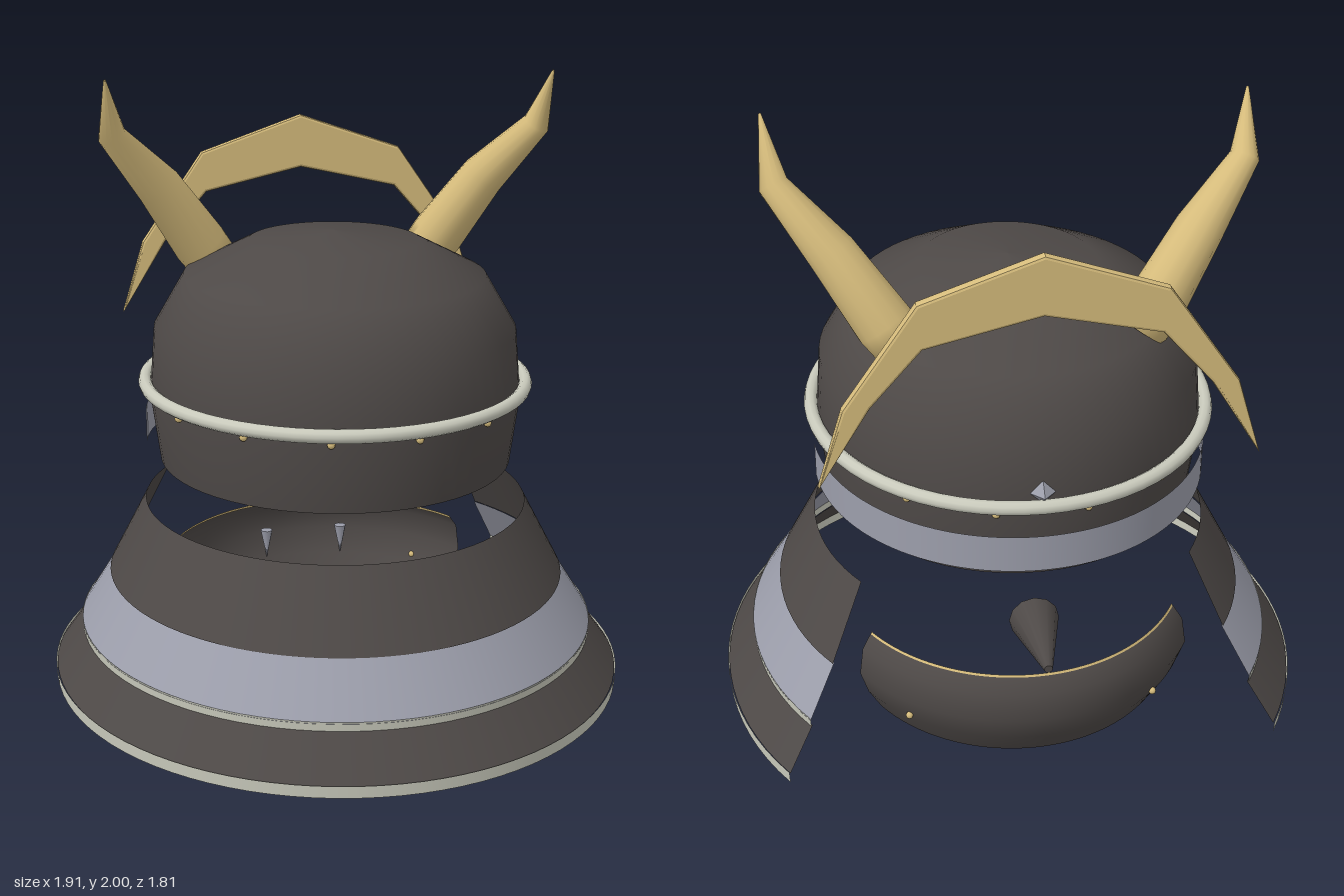
import * as THREE from 'three';

const deg = Math.PI / 180;

function material(name, color, side = THREE.DoubleSide) {
  const m = new THREE.MeshStandardMaterial({ color, side });
  m.name = name;
  return m;
}

// Tapered solid through a list of [x, y, z, radius] stations
function taperGeometry(stations, sides) {
  const pts = stations.map(([x, y, z]) => new THREE.Vector3(x, y, z));
  const position = [], index = [];
  stations.forEach(([, , , r], i) => {
    const dir = pts[Math.min(i + 1, pts.length - 1)].clone().sub(pts[Math.max(i - 1, 0)]).normalize();
    const u = new THREE.Vector3(0, 0, 1).cross(dir).normalize();
    const v = dir.clone().cross(u);
    for (let s = 0; s < sides; s++) {
      const a = (s / sides) * Math.PI * 2;
      const p = pts[i].clone().addScaledVector(u, r * Math.cos(a)).addScaledVector(v, r * Math.sin(a));
      position.push(p.x, p.y, p.z);
      if (i > 0) {
        const n = (s + 1) % sides, lo = (i - 1) * sides, hi = i * sides;
        index.push(lo + s, lo + n, hi + n, lo + s, hi + n, hi + s);
      }
    }
  });
  // base cap
  for (let s = 1; s < sides - 1; s++) index.push(0, s + 1, s);
  const g = new THREE.BufferGeometry();
  g.setAttribute('position', new THREE.Float32BufferAttribute(position, 3));
  g.setIndex(index);
  g.computeVertexNormals();
  return g;
}

export function createModel() {
  const dark = material('dark lacquer', 0x4e4947);
  const steel = material('blue grey steel', 0x9c9eab);
  const cream = material('pale trim', 0xc9cabc);
  const gold = material('gold', 0xd6bc7c);

  const model = new THREE.Group();
  model.name = 'hornedHelmet';

  // Round parts share one slightly elongated axis
  const oval = new THREE.Group();
  oval.name = 'ovalParts';
  oval.position.z = -0.13;
  oval.scale.z = 1.08;
  model.add(oval);

  function add(parent, name, geometry, mat) {
    const mesh = new THREE.Mesh(geometry, mat);
    mesh.name = name;
    parent.add(mesh);
    return mesh;
  }

  // Revolved shell, centred on an angle measured from +z; profile runs upwards
  function shell(name, profile, mat, middle = 0, half = 180) {
    const pts = profile.map(([r, y]) => new THREE.Vector2(r, y));
    const g = new THREE.LatheGeometry(pts, 64, (middle - half) * deg, 2 * half * deg);
    return add(oval, name, g, mat);
  }

  // Bowl
  shell('bowl', [[0.583, 0.745], [0.612, 0.96], [0.594, 1.19], [0.495, 1.36], [0.28, 1.47], [0, 1.5]], dark);

  // Rim ring and its rivets
  const rim = add(oval, 'rimRing', new THREE.TorusGeometry(0.628, 0.022, 10, 64), cream);
  rim.rotation.x = Math.PI / 2;
  rim.position.y = 1.007;
  for (let i = 0; i < 14; i++) {
    const a = ((i + 0.5) / 14) * Math.PI * 2;
    const rivet = add(oval, 'rimRivet', new THREE.SphereGeometry(0.013, 8, 6), gold);
    rivet.position.set(0.615 * Math.sin(a), 0.976, 0.615 * Math.cos(a));
  }

  // Brow band
  shell('browBand', [[0.628, 0.785], [0.628, 0.905]], steel, 180, 86);

  // Neck guard plates and trims, open towards -z
  const guard = 125;
  shell('upperGuardPlate', [[0.763, 0.355], [0.635, 0.6]], dark, 0, guard);
  shell('middleGuardPlate', [[0.862, 0.19], [0.757, 0.357]], steel, 0, guard);
  shell('lowerGuardPlate', [[0.953, 0.035], [0.856, 0.168]], dark, 0, guard);
  shell('middleGuardTrim', [[0.86, 0.166], [0.862, 0.196]], cream, 0, guard);
  shell('lowerGuardTrim', [[0.955, 0], [0.957, 0.04]], cream, 0, guard);

  // Jaw mask with gold upper edge
  shell('jawMask', [[0.55, 0.04], [0.6, 0.13], [0.63, 0.22], [0.616, 0.31], [0.583, 0.352]], dark, 180, 58);
  shell('jawMaskEdge', [[0.584, 0.347], [0.578, 0.358]], gold, 180, 58);

  // Nose spike
  const nose = add(model, 'noseSpike', new THREE.CylinderGeometry(0.013, 0.078, 0.255, 12), dark);
  nose.rotation.x = -Math.PI / 2;
  nose.position.set(0, 0.497, -0.783);

  // Small brow stud
  const stud = add(model, 'browStud', new THREE.OctahedronGeometry(0.05), steel);
  stud.position.set(0, 1.04, -0.77);

  // Horns, jaw rivets and fangs, mirrored
  const horn = [
    [0.36, 1.35, -0.4, 0.085], [0.41, 1.42, -0.385, 0.09], [0.55, 1.63, -0.32, 0.075],
    [0.705, 1.815, -0.225, 0.046], [0.728, 2.0, -0.13, 0.004],
  ];
  for (const side of [1, -1]) {
    const label = side > 0 ? 'left' : 'right';
    add(model, label + 'Horn', taperGeometry(horn.map(([x, y, z, r]) => [side * x, y, z, r]), 14), gold);

    const rivet = add(oval, label + 'JawRivet', new THREE.SphereGeometry(0.012, 8, 6), gold);
    rivet.position.set(side * 0.612 * Math.sin(40 * deg), 0.15, -0.612 * Math.cos(40 * deg));

    const fang = add(model, label + 'Fang', new THREE.ConeGeometry(0.022, 0.11, 8), steel);
    fang.rotation.x = Math.PI;
    fang.position.set(side * 0.14, 0.19, -0.745);
  }

  // Crescent crest
  const outer = [[0.645, 1.108], [0.57, 1.358], [0.355, 1.67], [0, 1.793]];
  const inner = [[0, 1.608], [0.34, 1.53], [0.49, 1.358]];
  const flip = (list) => list.map(([x, y]) => [-x, y]).reverse();
  const outline = [...outer, ...flip(outer).slice(1), ...flip(inner), ...inner.slice(1)];
  const crestShape = new THREE.Shape(outline.map(([x, y]) => new THREE.Vector2(x, y)));
  const crest = add(model, 'crescentCrest', new THREE.ExtrudeGeometry(crestShape, {
    depth: 0.016, bevelEnabled: true, bevelThickness: 0.009, bevelSize: 0.009, bevelOffset: -0.009, bevelSegments: 2,
  }), gold);
  crest.position.z = -0.768;

  return model;
}
